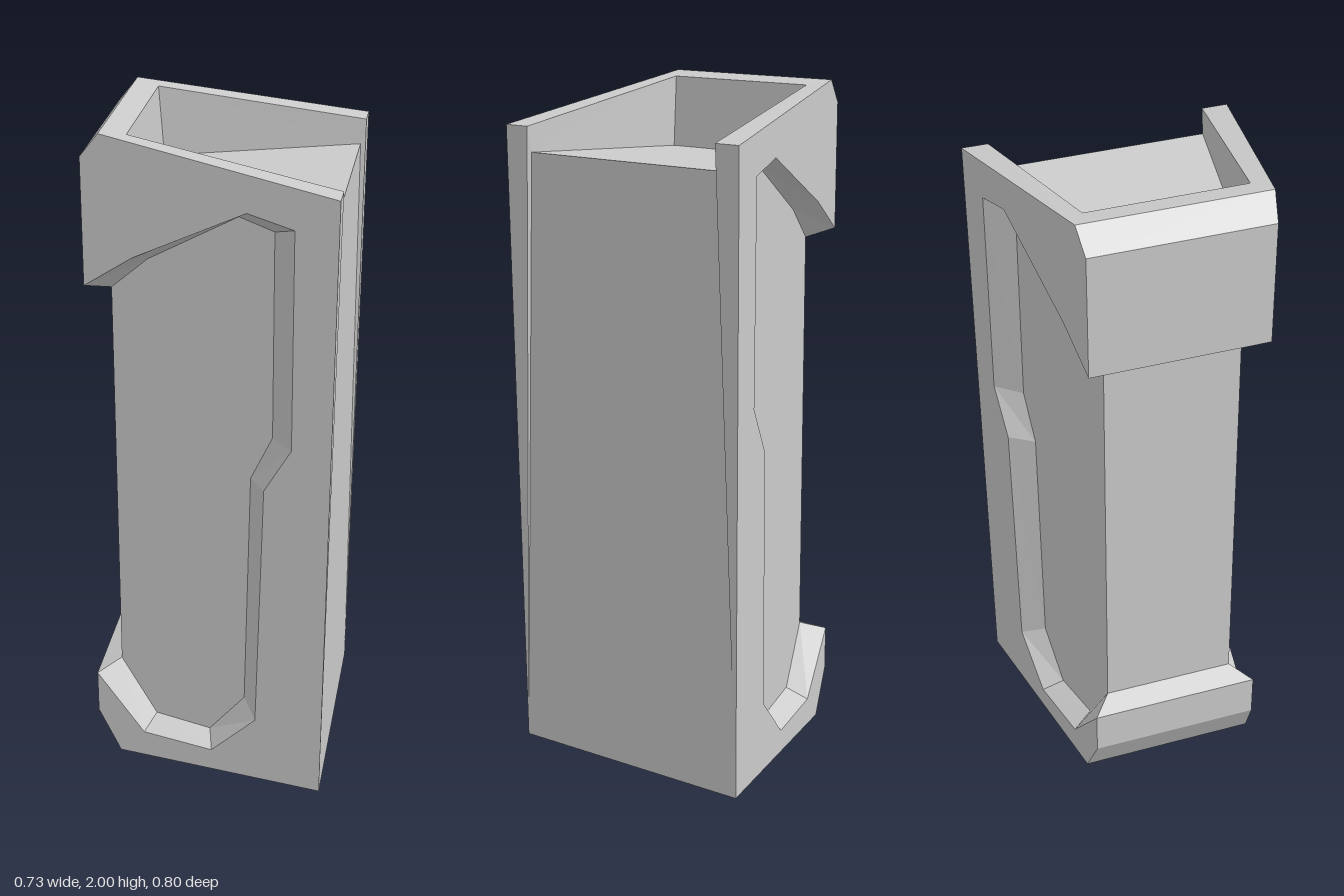
import * as THREE from 'three';

// Half widths of the tapered body: outer shell and sunken core
const shellZ = ([x, y]) => 0.26 + 0.187 * (x + 0.365) + 0.004 * (y - 1);
const coreZ = ([x]) => 0.2 + 0.21 * (x + 0.3);

// Outer and inner edge of the side cutout, from the top cap round to the bottom cap
const cutOuter = [[-0.365, 1.555], [-0.222, 1.655], [0.106, 1.825], [0.238, 1.793], [0.238, 1.14],
  [0.159, 1.0], [0.138, 0.212], [0, 0.07], [-0.217, 0.085], [-0.365, 0.27]];
const cutInner = [[-0.3, 1.53], [-0.19, 1.63], [0.074, 1.788], [0.175, 1.758], [0.175, 1.14],
  [0.111, 1.0], [0.095, 0.245], [-0.015, 0.105], [-0.188, 0.12], [-0.3, 0.297]];

const toe = [-0.295, 0], heel = [0.34, 0], topBack = [0.36, 1.89];
const topFront = [-0.31, 2], capTop = [-0.365, 1.93], footLow = [-0.365, 0.135];

const place = (p, zOf) => [p[0], p[1], zOf(p)];
const mirror = ([x, y, z]) => [x, y, -z];

// Convex polygon as a triangle fan
const fan = (pts) => pts.slice(2).map((p, i) => [pts[0], pts[i + 1], p]);
// Any flat side panel, triangulated in x-y and laid on the given width
const panel = (pts, zOf) => THREE.ShapeUtils
  .triangulateShape(pts.map((p) => new THREE.Vector2(...p)), [])
  .map((f) => f.map((i) => place(pts[i], zOf)));
// Triangles plus their mirror image across z = 0
const both = (tris) => [...tris, ...tris.map((t) => t.map(mirror).reverse())];
// Quad running across the body from +z to -z
const across = (a, b) => fan([a, mirror(a), mirror(b), b]);

export function createModel() {
  const group = new THREE.Group();
  const material = new THREE.MeshStandardMaterial({
    color: 0xcccccc, flatShading: true, side: THREE.DoubleSide,
  });
  const add = (name, tris) => {
    const geometry = new THREE.BufferGeometry();
    geometry.setAttribute('position', new THREE.Float32BufferAttribute(tris.flat(2), 3));
    geometry.computeVertexNormals();
    const mesh = new THREE.Mesh(geometry, material);
    mesh.name = name;
    group.add(mesh);
  };
  const outer = cutOuter.map((p) => place(p, shellZ));
  const inner = cutInner.map((p) => place(p, coreZ));
  const last = outer.length - 1;

  // Side shells, bevelled cutout edges and sunken core sides
  add('sideShells', both(panel([toe, heel, topBack, topFront, capTop, ...cutOuter, footLow], shellZ)));
  add('cutoutBevels', both(outer.slice(1).flatMap((p, i) => fan([outer[i], inner[i], inner[i + 1], p]))));
  add('coreSides', both(panel([...cutInner].reverse(), coreZ)));

  // Narrow end: upper cap, core face and lower cap
  const S = (p) => place(p, shellZ);
  add('upperCap', [
    ...across(S(topFront), S(capTop)), ...across(S(capTop), outer[0]), ...across(outer[0], inner[0]),
  ]);
  add('coreFace', across(inner[0], inner[last]));
  add('lowerCap', [
    ...across(inner[last], outer[last]), ...across(outer[last], S(footLow)), ...across(S(footLow), S(toe)),
  ]);

  // Top rim around a recess that is open at the wide end
  const rimNear = [-0.24, 1.988, 0.232], rimFar = [0.36, 1.89, 0.322];
  const floorNear = [-0.225, 1.78, 0.23], floorFar = [0.345, 1.815, 0.32];
  add('topRim', [
    ...both(fan([S(topFront), S(topBack), rimFar, rimNear])),
    ...across(rimNear, S(topFront)),
  ]);
  add('recessWalls', [
    ...both(fan([rimNear, rimFar, floorFar, floorNear])),
    ...across(floorNear, rimNear).map((t) => t),
  ]);
  add('recessFloor', across(floorFar, floorNear));

  // Wide end: flat plate with slim raised edges fading out toward the base
  add('widePlate', fan([floorFar, S(heel), mirror(S(heel)), mirror(floorFar)]));
  add('plateEdges', both([
    [S(topBack), S(heel), rimFar],
    [rimFar, S(heel), floorFar],
  ]));
  return group;
}
